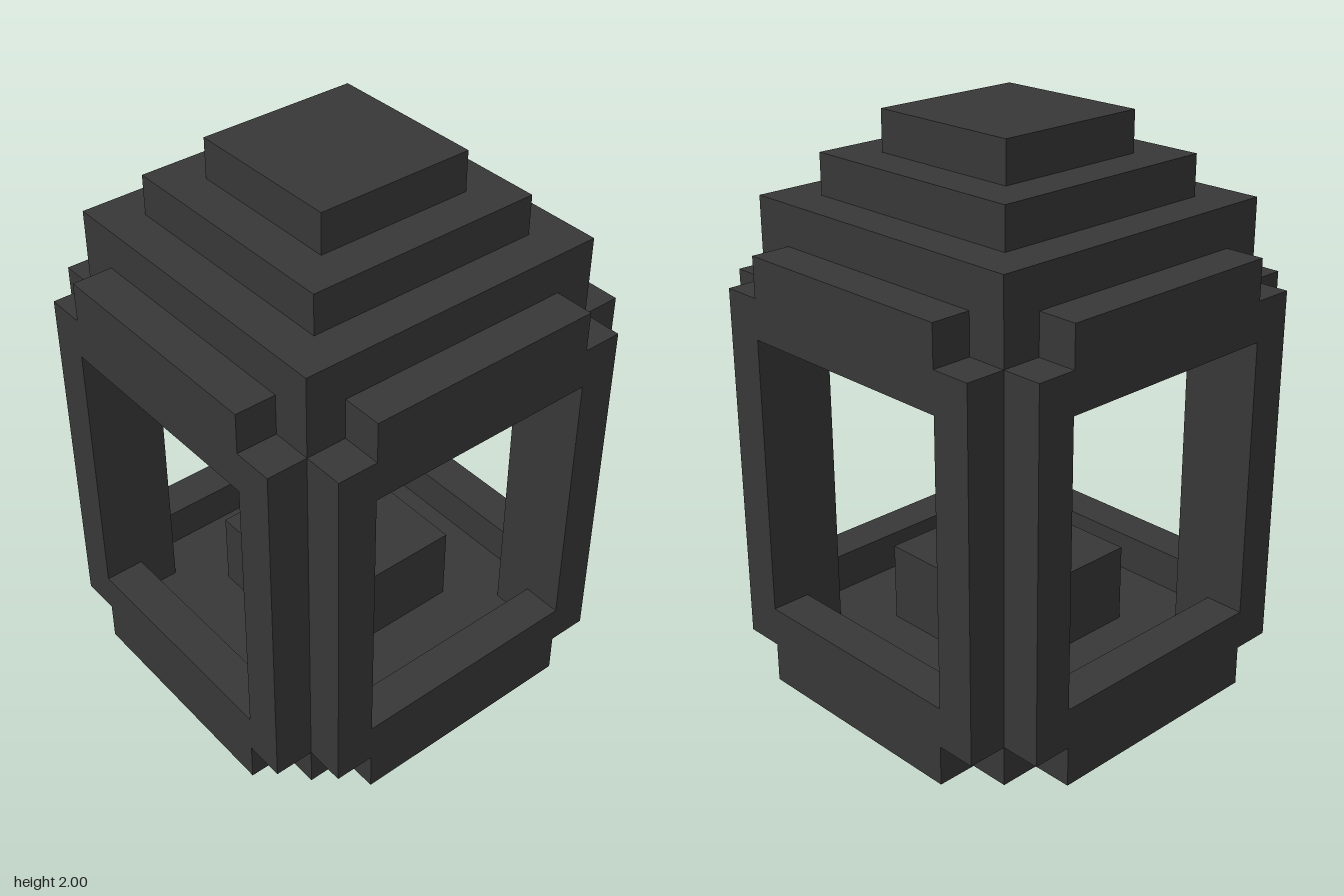
import * as THREE from 'three';

const U = 1 / 7; // one block

export function createModel() {
  const lantern = new THREE.Group();
  lantern.name = 'lantern';
  const material = new THREE.MeshStandardMaterial({ color: 0x383838, flatShading: true });

  // Square slab centred on the axis, sizes in blocks
  const slab = (name, half, y0, y1, x = 0, z = 0) => {
    const geometry = new THREE.BoxGeometry(2 * half * U, (y1 - y0) * U, 2 * half * U);
    const mesh = new THREE.Mesh(geometry, material);
    mesh.name = name;
    mesh.position.set(x * U, (y0 + y1) / 2 * U, z * U);
    lantern.add(mesh);
  };

  // Floor, light block and stepped roof
  slab('base', 4, 0, 1);
  slab('lightBlock', 2, 1, 3);
  slab('roofLower', 4, 9, 12);
  slab('roofMiddle', 3, 12, 13);
  slab('roofCap', 2, 13, 14);

  // Inner corner posts
  for (const x of [-3.5, 3.5])
    for (const z of [-3.5, 3.5]) slab('cornerPost', 0.5, 1, 9, x, z);

  // Window frame with notched corners
  const points = (list) => list.map(([x, y]) => new THREE.Vector2(x * U, y * U));
  const outline = new THREE.Shape(points([
    [-3, 0], [3, 0], [3, 1], [4, 1], [4, 10], [3, 10],
    [3, 11], [-3, 11], [-3, 10], [-4, 10], [-4, 1], [-3, 1],
  ]));
  outline.holes.push(new THREE.Path(points([[-3, 2], [-3, 9], [3, 9], [3, 2]])));
  const frameGeometry = new THREE.ExtrudeGeometry(outline, { depth: U, bevelEnabled: false });
  frameGeometry.translate(0, 0, 4 * U);

  // One frame on each side
  ['frontFrame', 'leftFrame', 'backFrame', 'rightFrame'].forEach((name, i) => {
    const frame = new THREE.Mesh(frameGeometry, material);
    frame.name = name;
    frame.rotation.y = i * Math.PI / 2;
    lantern.add(frame);
  });

  return lantern;
}
